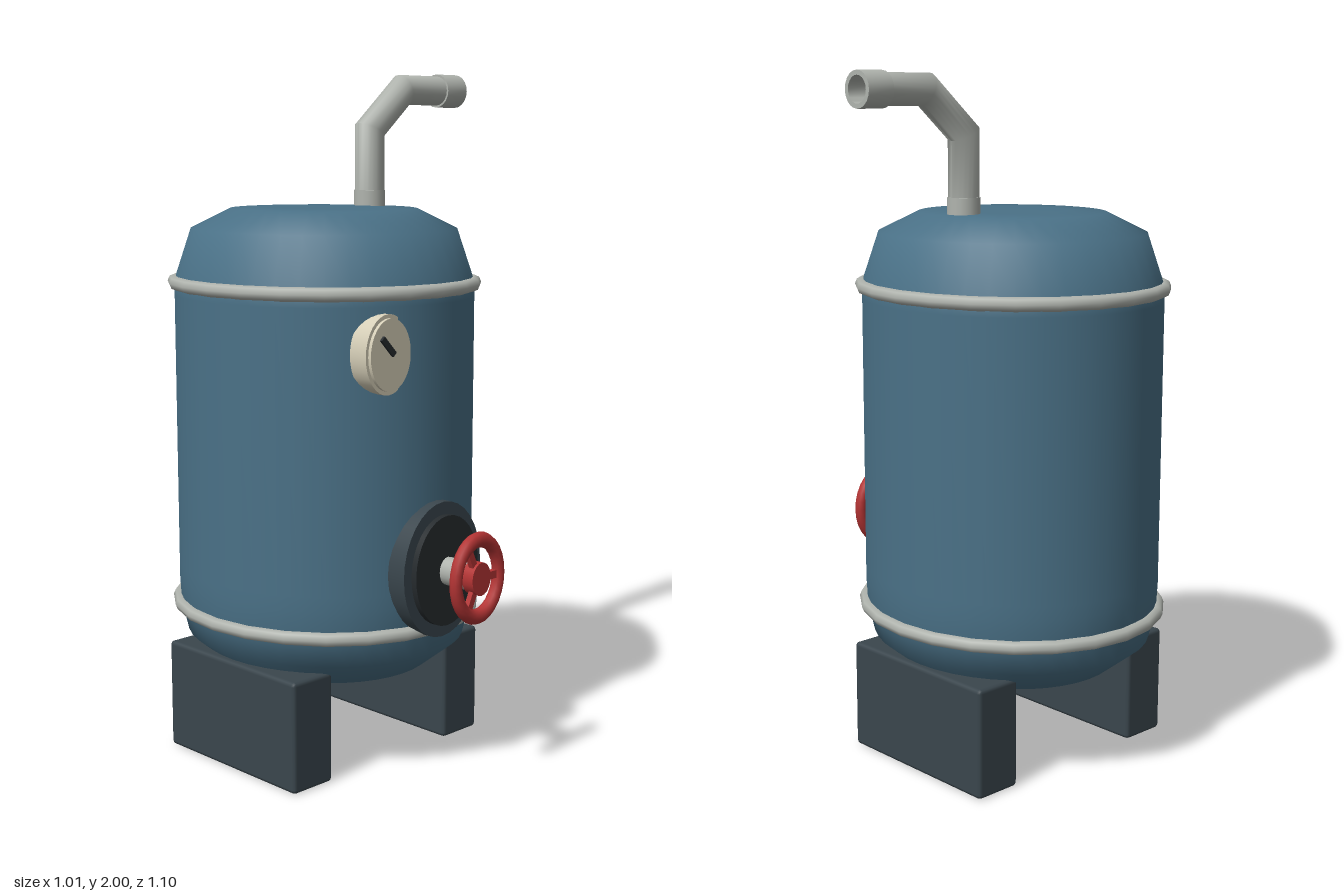
import * as THREE from 'three';
import { toCreasedNormals } from 'three/addons/utils/BufferGeometryUtils.js';
import { RoundedBoxGeometry } from 'three/addons/geometries/RoundedBoxGeometry.js';

const paint = (color) => new THREE.MeshStandardMaterial({ color });
const BLUE = paint(0x4a7187), STEEL = paint(0xb0b4ae), DARK = paint(0x3a464d);
const BLACK = paint(0x262b2e), RED = paint(0xb43434), CREAM = paint(0xd6cfb8);

const CX = -0.063, CZ = -0.08; // tank axis
const RX = 0.424, RZ = 0.453; // tank radii

function part(parent, name, geometry, material, x = 0, y = 0, z = 0) {
  const mesh = new THREE.Mesh(geometry, material);
  mesh.name = name;
  mesh.position.set(x, y, z);
  parent.add(mesh);
  return mesh;
}

// Elliptical disc facing +z, reaching from z0 to z1
function disc(parent, name, material, x, y, rx, ry, z0, z1, sides = 32) {
  const g = new THREE.CylinderGeometry(1, 1, z1 - z0, sides).rotateX(Math.PI / 2).scale(rx, ry, 1);
  return part(parent, name, g, material, x, y, (z0 + z1) / 2);
}

// Round pipe with mitred bends along a path in the xy plane
function mitredPipe(path, radius) {
  const n = path.length - 1;
  const side = path.slice(1).map((p, i) => {
    const d = p.clone().sub(path[i]).normalize();
    return new THREE.Vector2(d.y, -d.x);
  });
  const mitre = path.map((_, i) => {
    const a = side[Math.max(i - 1, 0)], b = side[Math.min(i, n - 1)];
    return a.clone().add(b).divideScalar(1 + a.dot(b));
  });
  const g = new THREE.CylinderGeometry(radius, radius, n, 20, n, true);
  const pos = g.attributes.position;
  for (let i = 0; i < pos.count; i++) {
    const k = Math.round(pos.getY(i) + n / 2), x = pos.getX(i);
    pos.setXY(i, path[k].x + mitre[k].x * x, path[k].y + mitre[k].y * x);
  }
  return toCreasedNormals(g, 0.9);
}

export function createModel() {
  const model = new THREE.Group();
  model.name = 'boiler';

  // Tank with domed ends
  const profile = [
    [0, 0.27], [0.4, 0.27], [0.72, 0.275], [0.945, 0.355], [0.99, 0.44], [1, 0.52],
    [1, 0.56], [1, 1.36], [1, 1.4], [0.885, 1.55], [0.62, 1.607], [0.35, 1.61], [0, 1.61],
  ].map(([r, y]) => new THREE.Vector2(r, y));
  part(model, 'tank', new THREE.LatheGeometry(profile, 40).scale(RX, 1, RZ), BLUE, CX, 0, CZ);

  // Hoops around the tank
  for (const [name, y] of [['lowerBand', 0.443], ['upperBand', 1.395]]) {
    const g = new THREE.TorusGeometry(RX, 0.02, 8, 24).rotateX(Math.PI / 2).scale(1, 1, RZ / RX);
    part(model, name, g, STEEL, CX, y, CZ);
  }

  // Block feet
  for (const [name, s] of [['rightFoot', -1], ['leftFoot', 1]])
    part(model, name, new RoundedBoxGeometry(0.148, 0.325, 0.55, 1, 0.012), DARK, CX + s * 0.309, 0.1625, -0.077);

  // Outlet pipe with an open end fitting
  const path = [[0.125, 1.57], [0.125, 1.83], [0.265, 1.95], [0.43, 1.95]].map((p) => new THREE.Vector2(...p));
  const pipe = new THREE.Group();
  pipe.name = 'outletPipe';
  pipe.position.z = -0.078;
  model.add(pipe);
  part(pipe, 'pipe', mitredPipe(path, 0.044), STEEL);
  part(pipe, 'pipeBase', new THREE.CylinderGeometry(0.047, 0.047, 0.07, 20), STEEL, 0.125, 1.62);
  const rim = [[0.04, 0], [0.05, 0], [0.05, 0.085], [0.037, 0.085], [0.037, 0.015], [0, 0.015]]
    .map((p) => new THREE.Vector2(...p));
  const fitting = toCreasedNormals(new THREE.LatheGeometry(rim, 20), 0.7).rotateZ(-Math.PI / 2);
  part(pipe, 'pipeFitting', fitting, STEEL, 0.415, 1.95);

  // Hatch with stem and handwheel
  const hy = 0.617;
  disc(model, 'hatchFlange', DARK, CX, hy, 0.158, 0.194, 0.3, 0.4);
  disc(model, 'hatchCover', BLACK, CX, hy, 0.128, 0.158, 0.39, 0.418);
  disc(model, 'valveStem', STEEL, CX, hy, 0.033, 0.04, 0.4, 0.515, 20);
  const wheel = new THREE.Group();
  wheel.name = 'handwheel';
  wheel.position.set(CX, hy, 0.527);
  wheel.scale.set(1, 1.235, 1);
  model.add(wheel);
  part(wheel, 'wheelRim', new THREE.TorusGeometry(0.088, 0.018, 10, 28), RED);
  disc(wheel, 'wheelHub', RED, 0, 0, 0.038, 0.038, -0.022, 0.016, 20);
  for (let i = 0; i < 3; i++) {
    const g = new THREE.BoxGeometry(0.088, 0.018, 0.016).translate(0.044, 0, 0);
    part(wheel, 'wheelSpoke', g, RED).rotation.z = (i * Math.PI * 2) / 3;
  }

  // Pressure gauge, partly sunk in the tank wall
  const gx = -0.233, gy = 1.233;
  disc(model, 'gaugeCase', CREAM, gx, gy, 0.086, 0.11, 0.29, 0.35);
  disc(model, 'gaugeFace', CREAM, gx, gy, 0.077, 0.099, 0.34, 0.36);
  part(model, 'gaugeNeedle', new THREE.BoxGeometry(0.065, 0.016, 0.012), BLACK, -0.248, 1.258, 0.362)
    .rotation.z = -0.8;

  return model;
}
